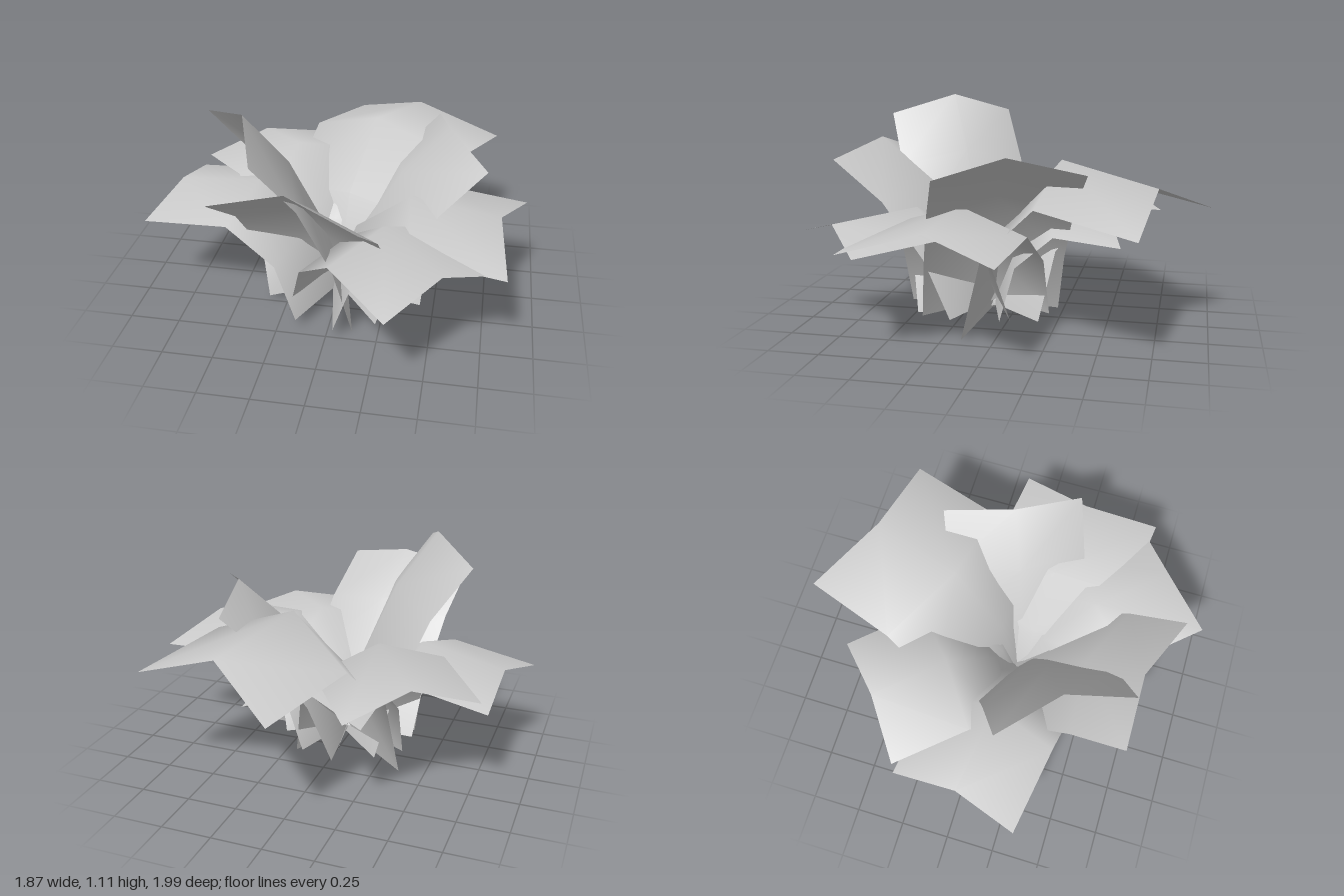
import * as THREE from 'three';

const material = new THREE.MeshStandardMaterial({ color: 0xcccccc, side: THREE.DoubleSide });
const heart = new THREE.Vector3(0, 0, 0.09); // point around which all leaves grow
const up = new THREE.Vector3(0, 1, 0);

// Rows along a leaf: [share of outward travel, share of height]
const arching = [[0, 0], [0.13, 0.68], [0.45, 1.08], [1, 1]];
const highArching = [[0, 0], [0.13, 0.7], [0.44, 1.13], [1, 1]];
const upright = [[0, 0], [0.22, 0.38], [0.57, 0.74], [1, 1]];

// Strip of constant width, creased along its midrib, from the base to the tip edge
function leaf(name, rows, baseY, a, m, b) {
  const [endA, endM, endB] = [a, m, b].map(p => new THREE.Vector3(...p));
  const tip = endA.clone().add(endB).multiplyScalar(0.5);
  const half = endB.clone().sub(endA).multiplyScalar(0.5);
  const out = half.clone().cross(up).normalize();
  if (out.dot(tip.clone().sub(heart)) < 0) {
    out.negate();
    half.negate();
  }
  // The base lies straight behind the tip edge, just outside the heart
  const reach = tip.clone().sub(heart).dot(out) - 0.09;
  const base = tip.clone().addScaledVector(out, -reach).setY(baseY);
  const baseFold = out.clone().multiplyScalar(-0.11).setY(0.03);
  const tipFold = endM.clone().sub(tip);

  const positions = [], index = [];
  rows.forEach(([s, h], r) => {
    const centre = base.clone().lerp(tip, s);
    centre.y = baseY + (tip.y - baseY) * h;
    const fold = baseFold.clone().lerp(tipFold, h);
    for (const p of [centre.clone().sub(half), centre.clone().add(fold), centre.clone().add(half)]) {
      positions.push(p.x, p.y, p.z);
    }
    if (r === 0) return;
    for (let c = 0; c < 2; c++) {
      const i = (r - 1) * 3 + c;
      index.push(i, i + 1, i + 3, i + 1, i + 4, i + 3);
    }
  });
  const geometry = new THREE.BufferGeometry();
  geometry.setAttribute('position', new THREE.Float32BufferAttribute(positions, 3));
  geometry.setIndex(index);
  geometry.computeVertexNormals();
  const mesh = new THREE.Mesh(geometry, material);
  mesh.name = name;
  return mesh;
}

export function createModel() {
  const plant = new THREE.Group();
  plant.name = 'leafyPlant';
  plant.add(
    // Upright inner leaves
    leaf('tallLeaf', upright, 0.02, [-0.63, 1.01, 0.15], [-0.39, 1.11, 0.40], [-0.28, 1.01, 0.72]),
    leaf('frontLeaf', upright, 0.06, [-0.48, 0.82, 0.74], [-0.13, 0.90, 0.73], [0.21, 0.82, 0.87]),
    leaf('innerLeftLeaf', upright, 0.04, [0.45, 0.82, -0.44], [0.52, 0.90, -0.08], [0.72, 0.82, 0.21]),
    // Arching outer leaves
    leaf('largeBackLeaf', highArching, 0, [-0.04, 0.60, -1.0], [0.32, 0.75, -0.75], [0.76, 0.60, -0.69]),
    leaf('backRightLeaf', highArching, 0.03, [-0.80, 0.53, -0.32], [-0.52, 0.63, -0.51], [-0.28, 0.53, -0.74]),
    leaf('outerRightLeaf', highArching, 0.06, [-0.83, 0.47, -0.31], [-0.84, 0.56, 0.02], [-0.94, 0.47, 0.34]),
    leaf('outerLeftLeaf', arching, 0.06, [0.93, 0.50, -0.12], [0.80, 0.60, 0.23], [0.84, 0.50, 0.62]),
    leaf('frontLeftLeaf', arching, 0.06, [0.34, 0.48, 0.99], [0.56, 0.57, 0.74], [0.83, 0.48, 0.54]),
    leaf('lowBackLeaf', arching, 0.04, [-0.32, 0.45, -0.61], [-0.01, 0.54, -0.5], [0.28, 0.45, -0.58])
  );
  return plant;
}
